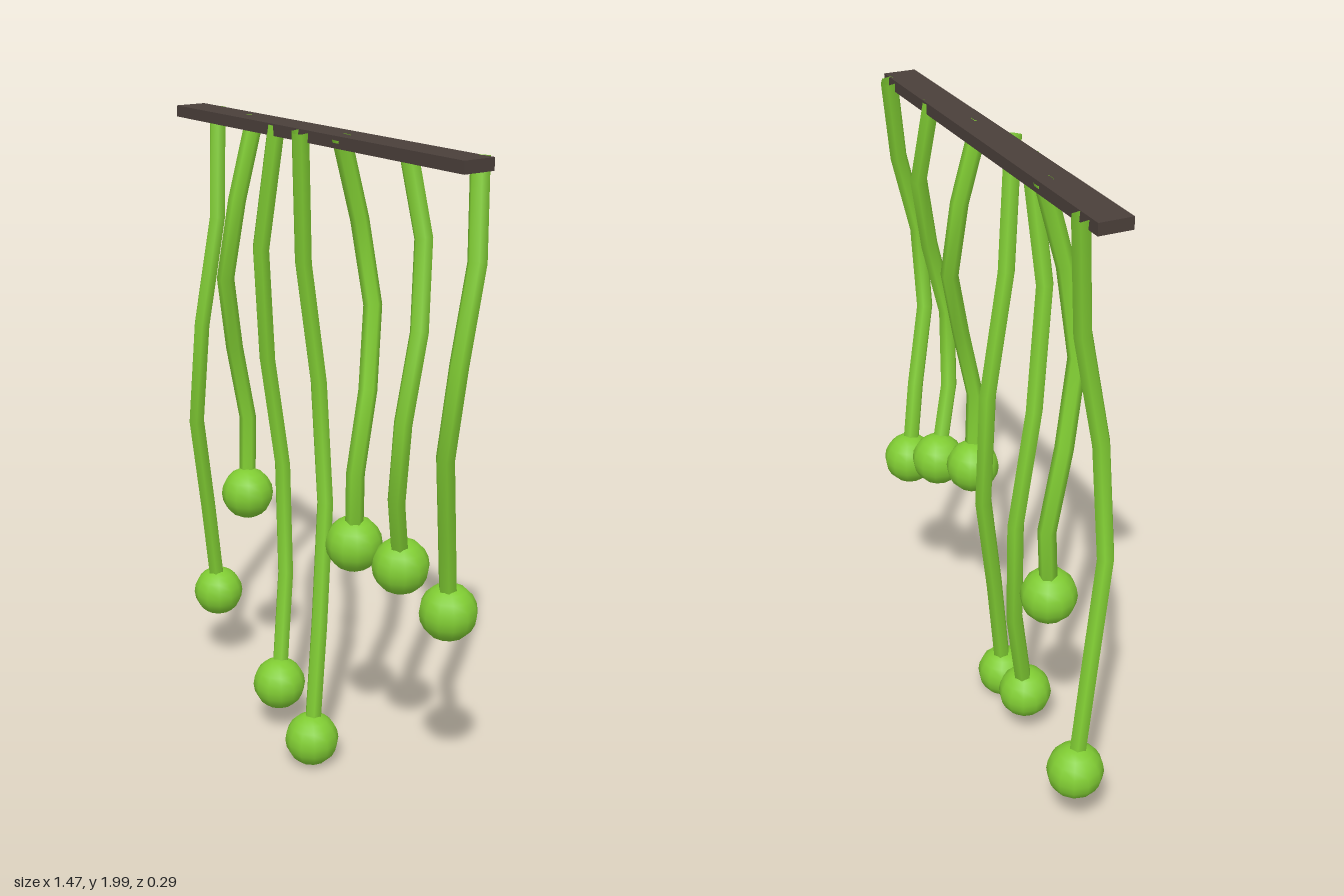
import * as THREE from 'three';

// One row per vine: height of its ball, then x at six evenly spaced heights from top to ball
const VINES = [
  { ballY: 0.295, xs: [-0.585, -0.537, -0.537, -0.587, -0.637, -0.65] },
  { ballY: 0.755, xs: [-0.33, -0.33, -0.38, -0.43, -0.44, -0.405] },
  { ballY: 0.18, xs: [-0.13, -0.175, -0.225, -0.235, -0.2, -0.14] },
  { ballY: 0.09, xs: [0.03, -0.015, -0.03, 0.005, 0.067, 0.085] },
  { ballY: 0.82, xs: [0.18, 0.175, 0.22, 0.28, 0.295, 0.255] },
  { ballY: 0.785, xs: [0.388, 0.43, 0.485, 0.5, 0.46, 0.4] },
  { ballY: 0.7, xs: [0.64, 0.69, 0.71, 0.67, 0.61, 0.58] },
];
const TOP_Y = 1.991;
const SWAY = 0.06;

export function createModel() {
  const green = new THREE.MeshStandardMaterial({ color: 0x80cc33, side: THREE.DoubleSide });
  green.name = 'vineGreen';
  const brown = new THREE.MeshStandardMaterial({ color: 0x4a3f3a });
  brown.name = 'darkWood';

  const model = new THREE.Group();
  model.name = 'hangingVines';

  // Bar the vines hang from
  const bar = new THREE.Mesh(new THREE.BoxGeometry(1.355, 0.034, 0.1), brown);
  bar.name = 'bar';
  bar.position.set(0.027, 1.979, 0);
  model.add(bar);

  const ballGeometry = new THREE.SphereGeometry(0.085, 12, 10);

  VINES.forEach(({ ballY, xs }, i) => {
    const vine = new THREE.Group();
    vine.name = `vine${i + 1}`;

    // Each stem sways through one turn in depth, with the phase moving on from vine to vine
    const phase = (i - 3) * Math.PI / 3;
    const points = xs.map((x, k) => {
      const t = k / 5;
      const z = SWAY * Math.cos(2 * Math.PI * t + phase);
      return new THREE.Vector3(x, THREE.MathUtils.lerp(TOP_Y, ballY, t), z);
    });
    const path = new THREE.CatmullRomCurve3(points);
    const stem = new THREE.Mesh(new THREE.TubeGeometry(path, 5, 0.027, 6), green);
    stem.name = 'stem';

    // Ball at the tip
    const ball = new THREE.Mesh(ballGeometry, green);
    ball.name = 'ball';
    ball.position.copy(points[5]);

    vine.add(stem, ball);
    model.add(vine);
  });

  return model;
}
